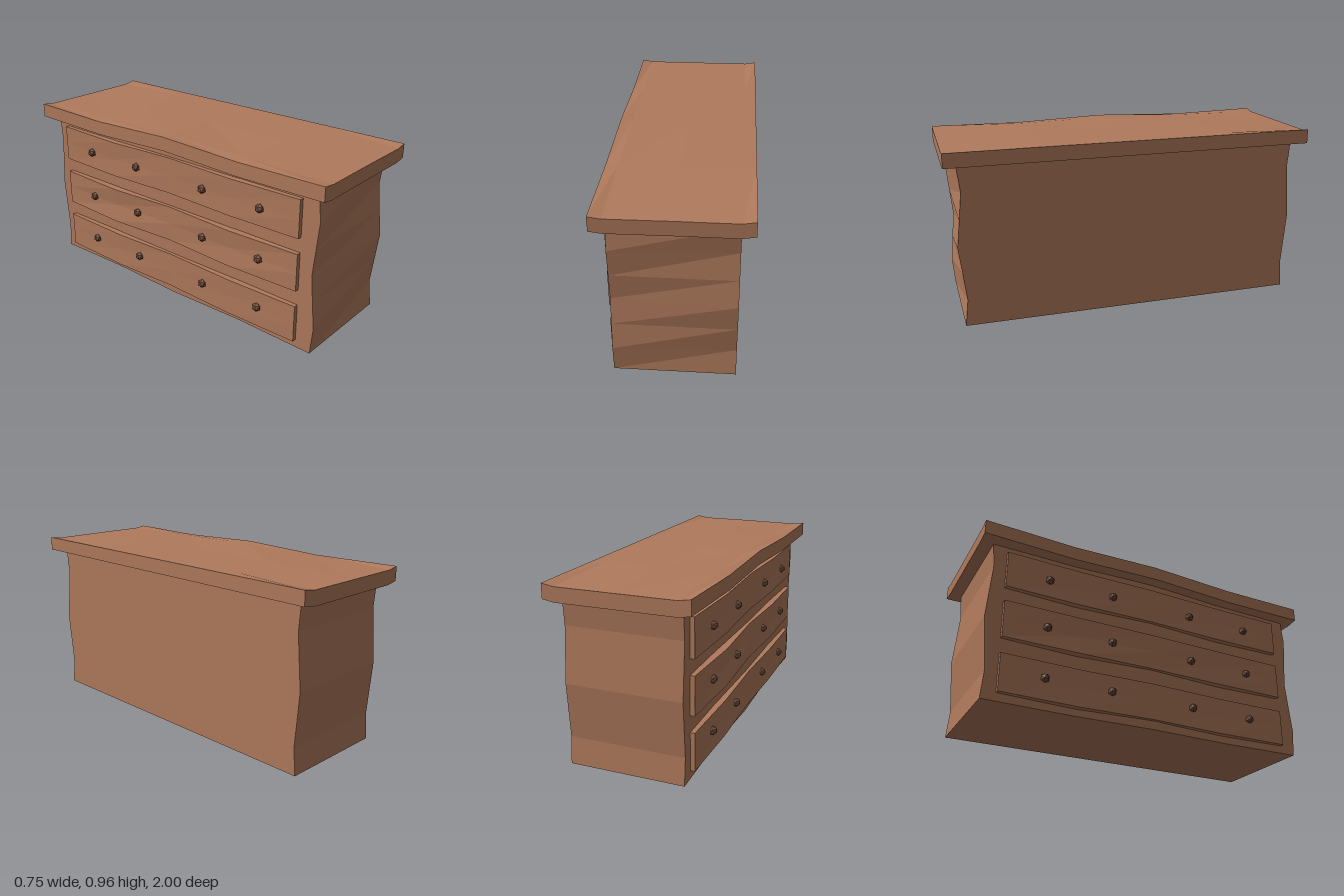
import * as THREE from 'three';

const wood = new THREE.MeshStandardMaterial({ color: 0xb07a5c, flatShading: true });
const darkWood = new THREE.MeshStandardMaterial({ color: 0x7a5340, flatShading: true });

// Box with segments [x, y, z], whose vertices are then moved by a rule
function warpedBox(name, size, centre, segments, rule) {
  const geometry = new THREE.BoxGeometry(...size, ...segments);
  geometry.translate(...centre);
  const pos = geometry.attributes.position;
  const v = new THREE.Vector3();
  for (let i = 0; i < pos.count; i++) {
    v.fromBufferAttribute(pos, i);
    rule(v);
    pos.setXYZ(i, v.x, v.y, v.z);
  }
  geometry.computeVertexNormals();
  const mesh = new THREE.Mesh(geometry, wood);
  mesh.name = name;
  return mesh;
}

// Straight-line interpolation through evenly spaced values, t from 0 to 1
function along(values, t) {
  const f = THREE.MathUtils.clamp(t, 0, 1) * (values.length - 1);
  const i = Math.min(Math.floor(f), values.length - 2);
  return THREE.MathUtils.lerp(values[i], values[i + 1], f - i);
}

export function createModel() {
  const group = new THREE.Group();
  group.name = 'chestOfDrawers';

  // Body: hand-hewn ends and a slightly wavy drawer face
  group.add(warpedBox('body', [0.62, 0.88, 1.866], [0, 0.44, 0], [1, 6, 4], (v) => {
    const wave = Math.sin((3 * Math.PI * v.y) / 0.88);
    const drawerSide = v.x < 0;
    if (drawerSide) v.x += along([0, 0.01, -0.004, 0.01, 0], (v.z + 0.933) / 1.866);
    if (v.z > 0.9) v.z += drawerSide ? 0.014 * wave : -0.017 * wave;
    else if (v.z < -0.9) v.z += 0.012 * wave;
  }));

  // Top slab: wavy along the drawer side, dipping a little at both ends
  group.add(warpedBox('topSlab', [0.75, 0.077, 2], [0, 0.9165, 0], [4, 1, 4], (v) => {
    const toDrawerSide = THREE.MathUtils.clamp(-v.x / 0.375, 0, 1);
    v.y += toDrawerSide * along([0, -0.01, 0.008, -0.01, -0.005], (v.z + 1) / 2);
    if (Math.abs(v.z) > 0.99 && Math.abs(v.x) < 0.37) v.y -= 0.011;
    // Inner rows sit just inside the overhang
    if (Math.abs(v.x) > 0.1 && Math.abs(v.x) < 0.37) v.x = Math.sign(v.x) * 0.31;
  }));

  // Drawer fronts on the -x face, each with four faceted knobs
  const rows = [
    { y: 0.147, knobY: 0.157, bulge: 0.004 },
    { y: 0.44, knobY: 0.44, bulge: 0.012 },
    { y: 0.728, knobY: 0.72, bulge: 0.005 },
  ];
  const knobGeometry = new THREE.IcosahedronGeometry(0.025, 0);
  rows.forEach((row, r) => {
    const drawer = new THREE.Group();
    drawer.name = `drawer${r + 1}`;
    drawer.add(warpedBox('drawerFront', [0.05, 0.205, 1.7], [-0.307, row.y, -0.005], [1, 2, 4], (v) => {
      const t = (v.z + 0.855) / 1.7;
      const edge = Math.abs(v.y - row.y) > 0.05;
      if (v.x < -0.31 && edge) v.x -= row.bulge * along([0, 1, 0, 0.7, 0], t);
      v.y += along([0, -0.006, 0.004, -0.004, 0], t);
    }));
    for (const z of [-0.62, -0.25, 0.24, 0.615]) {
      const knob = new THREE.Mesh(knobGeometry, darkWood);
      knob.name = 'knob';
      knob.position.set(-0.337, row.knobY, z);
      knob.rotation.z = 0.4;
      drawer.add(knob);
    }
    group.add(drawer);
  });

  return group;
}
